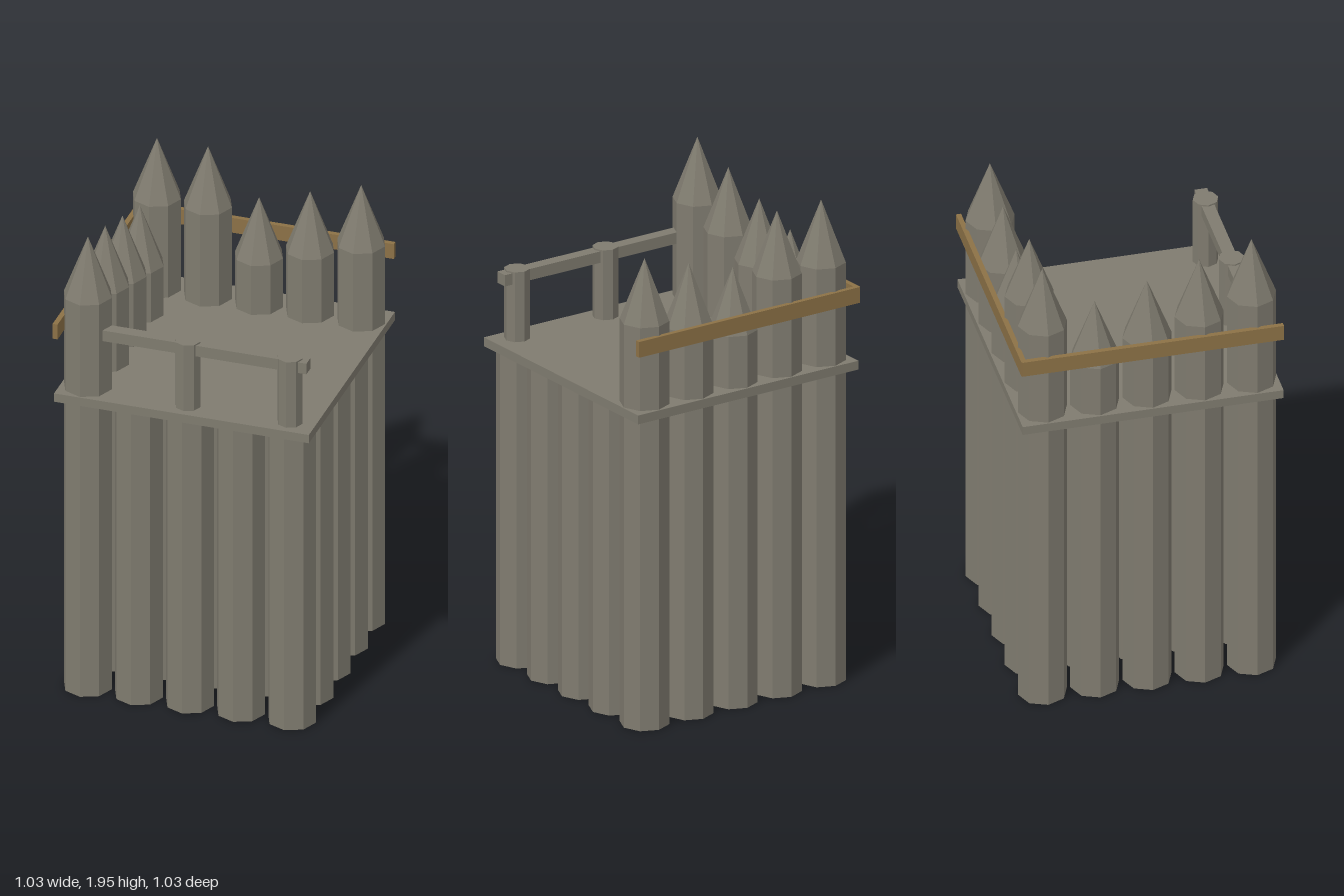
import * as THREE from 'three';

export function createModel() {
  const model = new THREE.Group();
  model.name = 'palisadeTower';

  const weathered = new THREE.MeshStandardMaterial({ color: 0x7f7b6f, flatShading: true });
  weathered.name = 'weathered grey wood';
  const brown = new THREE.MeshStandardMaterial({ color: 0x8c7146, flatShading: true });
  brown.name = 'brown wood';

  const add = (geometry, material, name, x, y, z, parent = model) => {
    const mesh = new THREE.Mesh(geometry, material);
    mesh.name = name;
    mesh.position.set(x, y, z);
    parent.add(mesh);
    return mesh;
  };
  // Box given by its lower and upper bounds on each axis
  const addBox = (name, material, [x0, x1], [y0, y1], [z0, z1]) =>
    add(new THREE.BoxGeometry(x1 - x0, y1 - y0, z1 - z0), material, name,
      (x0 + x1) / 2, (y0 + y1) / 2, (z0 + z1) / 2);

  const SPACING = 0.205, RADIUS = 0.096, SPIKE = 0.25;
  const DECK_BOTTOM = 1.267, DECK_TOP = 1.303;

  // Tip heights of the sharpened logs: back row by x, side column by z
  const backTips = [1.95, 1.95, 1.765, 1.827, 1.89];
  const sideTips = [1.95, 1.765, 1.827, 1.89, 1.95];

  // Five by five bundle of octagonal logs; back and right-hand ones rise as stakes
  for (let i = 0; i < 5; i++) {
    for (let j = 0; j < 5; j++) {
      const x = (i - 2) * SPACING + 0.002, z = (j - 2) * SPACING + 0.002;
      const tip = j === 0 ? backTips[i] : i === 0 ? sideTips[j] : 0;
      const log = new THREE.Group();
      log.name = tip ? 'stake' : 'supportLog';
      log.position.set(x, 0, z);
      const height = tip ? tip - SPIKE : DECK_BOTTOM + 0.01;
      add(new THREE.CylinderGeometry(RADIUS, RADIUS, height, 8), weathered, 'logShaft', 0, height / 2, 0, log);
      if (tip) {
        add(new THREE.ConeGeometry(RADIUS, SPIKE, 8, 1, true), weathered, 'logPoint', 0, tip - SPIKE / 2, 0, log);
      }
      model.add(log);
    }
  }

  // Platform
  addBox('deck', weathered, [-0.51, 0.513], [DECK_BOTTOM, DECK_TOP], [-0.51, 0.513]);

  // Brown beams tying the stakes together
  addBox('backBeam', brown, [-0.513, 0.513], [1.54, 1.604], [-0.516, -0.496]);
  addBox('sideBeam', brown, [-0.516, -0.496], [1.54, 1.604], [-0.513, 0.513]);

  // Front handrail with two short posts
  addBox('handrail', weathered, [-0.41, 0.486], [1.535, 1.581], [0.412, 0.462]);
  for (const x of [0.002, 0.412]) {
    const h = 1.587 - DECK_BOTTOM - 0.01;
    add(new THREE.CylinderGeometry(0.05, 0.05, h, 8), weathered, 'handrailPost', x, 1.587 - h / 2, 0.437);
  }

  return model;
}
